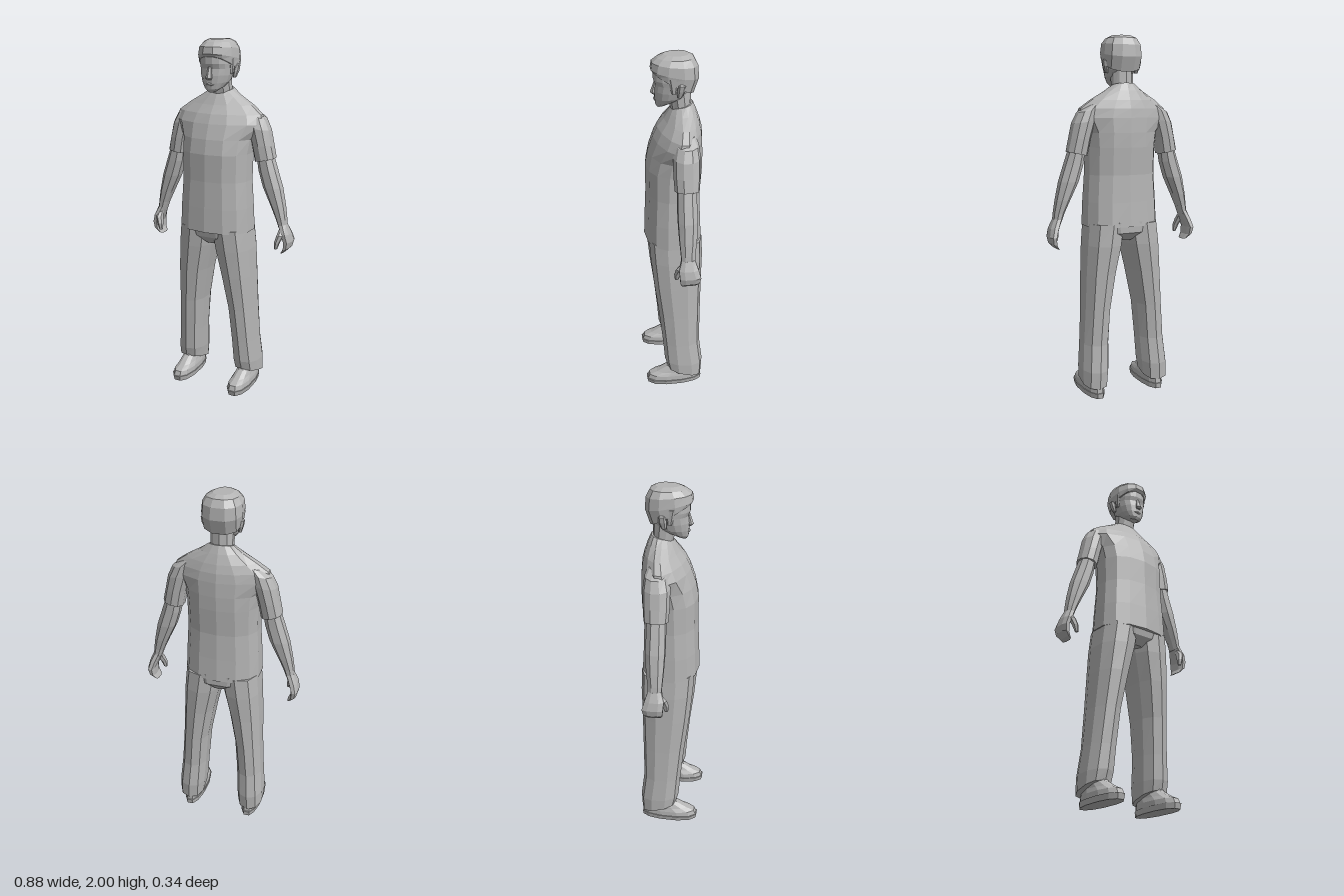
import * as THREE from 'three';

const grey = new THREE.MeshStandardMaterial({ color: 0xb4b4b4 });
grey.name = 'plain grey';
grey.flatShading = true;

// Closed loft through horizontal rings, listed from bottom to top.
// Ring: [y, xMin, xMax, zBack, zFront, squareness, sideTilt, frontTilt]
function loft(rings, sides = 10, taper = 0) {
  const pos = [], index = [];
  for (const [y, x0, x1, zb, zf, power = 2.2, sx = 0, sz = 0] of rings) {
    for (let j = 0; j < sides; j++) {
      const a = ((j + 0.5) / sides) * Math.PI * 2;
      const c = Math.cos(a), s = Math.sin(a);
      const dx = Math.sign(c) * Math.abs(c) ** (2 / power);
      const dz = Math.sign(s) * Math.abs(s) ** (2 / power);
      // Stretch so the ring reaches its full width between vertices
      const k = 1 / Math.cos(Math.PI / sides) ** (2 / power);
      pos.push(
        (x0 + x1) / 2 + ((x1 - x0) / 2) * dx * k * (1 - taper * dz),
        y + sx * dx + sz * dz,
        (zb + zf) / 2 + ((zf - zb) / 2) * dz * (sides % 4 ? 1 : k));
    }
  }
  const last = rings.length - 1;
  for (let i = 0; i < last; i++) {
    for (let j = 0; j < sides; j++) {
      const a = i * sides + j, b = i * sides + ((j + 1) % sides);
      index.push(a, a + sides, b, b, a + sides, b + sides);
    }
  }
  for (let j = 1; j < sides - 1; j++) {
    const t = last * sides;
    index.push(0, j, j + 1, t, t + j + 1, t + j);
  }
  const geo = new THREE.BufferGeometry();
  geo.setAttribute('position', new THREE.Float32BufferAttribute(pos, 3));
  geo.setIndex(index);
  const flat = geo.toNonIndexed();
  flat.computeVertexNormals();
  return flat;
}

// Ring symmetric about x = 0
const mid = (y, w, zb, zf, power, sz = 0) => [y, -w, w, zb, zf, power, 0, sz];
// Rings written for the left side (+x), flipped when s is -1
const sided = (rings, s) => s > 0 ? rings : rings.map(
  ([y, x0, x1, zb, zf, p = 2.2, sx = 0, sz = 0]) => [y, -x1, -x0, zb, zf, p, -sx, sz]);

export function createModel() {
  const model = new THREE.Group();
  model.name = 'standingMan';
  const add = (name, geometry, parent = model) => {
    const mesh = new THREE.Mesh(geometry, grey);
    mesh.name = name;
    parent.add(mesh);
    return mesh;
  };

  // Loose shirt body, from hem to collar
  add('shirt', loft([
    mid(0.965, 0.212, -0.168, 0.155, 2.4),
    mid(1.1, 0.206, -0.16, 0.15, 2.4),
    mid(1.25, 0.197, -0.155, 0.143, 2.3),
    mid(1.4, 0.198, -0.165, 0.143, 2.3),
    mid(1.48, 0.208, -0.167, 0.128, 2.1),
    mid(1.56, 0.262, -0.165, 0.1, 1.7),
    mid(1.61, 0.25, -0.16, 0.075, 1.6),
    mid(1.655, 0.19, -0.148, 0.04, 1.7),
    mid(1.7, 0.115, -0.13, 0.015, 1.9, -0.005),
    mid(1.735, 0.066, -0.112, -0.003, 2, -0.012),
  ], 14));

  // Neck and head
  add('neck', loft([
    mid(1.69, 0.06, -0.105, 0.0, 2),
    mid(1.83, 0.058, -0.1, 0.03, 2),
  ]));
  const head = new THREE.Group();
  head.name = 'head';
  model.add(head);
  add('face', loft([
    mid(1.738, 0.03, 0.0, 0.073, 2, -0.013),
    mid(1.753, 0.052, -0.03, 0.083, 2.1, -0.012),
    mid(1.78, 0.072, -0.07, 0.087, 2.1, -0.006),
    mid(1.815, 0.083, -0.09, 0.088, 2.2),
    mid(1.85, 0.088, -0.1, 0.083, 2.3),
    mid(1.875, 0.09, -0.11, 0.093, 2.3),
    mid(1.94, 0.088, -0.12, 0.092, 2.3),
  ], 16, 0.06), head);
  add('nose', loft([
    mid(1.793, 0.012, 0.075, 0.098, 2),
    mid(1.803, 0.018, 0.07, 0.11, 2),
    mid(1.86, 0.008, 0.07, 0.09, 2),
  ], 6), head);
  add('lips', loft([
    mid(1.761, 0.015, 0.06, 0.088, 2),
    mid(1.768, 0.024, 0.06, 0.093, 2),
    mid(1.776, 0.015, 0.06, 0.088, 2),
  ], 8), head);
  add('hair', loft([
    mid(1.86, 0.099, -0.11, 0.096, 2.4, 0.055),
    mid(1.905, 0.104, -0.136, 0.106, 2.4, 0.022),
    mid(1.955, 0.099, -0.132, 0.1, 2.3, 0.008),
    mid(1.985, 0.08, -0.112, 0.072, 2.2),
    mid(2.0, 0.05, -0.085, 0.04, 2.2),
  ], 12, 0.14), head);

  for (const s of [1, -1]) {
    const side = s > 0 ? 'left' : 'right';
    const part = (name, rings, sides, parent = model) =>
      add(side + name, loft(sided(rings, s), sides), parent);

    // Ear and sideburn
    part('Ear', [
      [1.8, 0.082, 0.096, -0.045, -0.02],
      [1.835, 0.083, 0.108, -0.06, -0.018],
      [1.865, 0.085, 0.113, -0.062, -0.022],
      [1.878, 0.085, 0.1, -0.05, -0.03],
    ], 6, head);
    part('Sideburn', [
      [1.82, 0.08, 0.093, -0.015, 0.008],
      [1.9, 0.08, 0.103, -0.03, 0.03],
    ], 6, head);

    // Short sleeve
    part('Sleeve', [
      [1.368, 0.218, 0.328, -0.115, 0.015, 2.2, 0.012],
      [1.45, 0.2, 0.312, -0.12, 0.02, 2.2],
      [1.54, 0.17, 0.295, -0.122, 0.02, 2.1, -0.01],
      [1.6, 0.15, 0.268, -0.115, 0.005, 2, -0.012],
      [1.635, 0.13, 0.215, -0.1, -0.015, 2, -0.012],
    ], 10);

    // Bare arm, narrowing to the wrist
    part('Arm', [
      [1.0, 0.368, 0.412, -0.078, -0.008],
      [1.05, 0.35, 0.406, -0.08, -0.005],
      [1.12, 0.318, 0.394, -0.09, 0.0],
      [1.22, 0.27, 0.372, -0.098, 0.004],
      [1.31, 0.242, 0.342, -0.096, 0.003],
      [1.42, 0.225, 0.305, -0.095, 0.0],
    ], 8);

    // Hand seen edge-on, with fingers curling inward
    part('Hand', [
      [0.858, 0.384, 0.408, -0.085, -0.01, 2.6, 0.006],
      [0.885, 0.4, 0.434, -0.1, 0.0, 2.6, 0.005],
      [0.925, 0.402, 0.442, -0.108, 0.004, 2.6],
      [0.97, 0.384, 0.432, -0.095, 0.008, 2.4],
      [1.02, 0.363, 0.41, -0.078, -0.008],
    ], 8);
    part('Thumb', [
      [0.888, 0.364, 0.38, 0.005, 0.025],
      [0.925, 0.364, 0.392, -0.008, 0.03],
      [0.965, 0.374, 0.408, -0.03, 0.022],
      [0.995, 0.378, 0.404, -0.04, -0.005],
    ], 6);

    // Straight trouser leg with a hem raised at the front
    part('TrouserLeg', [
      [0.085, 0.115, 0.26, -0.16, 0.045, 2.4, 0, 0.03],
      [0.16, 0.107, 0.26, -0.165, 0.06, 2.3, 0, 0.01],
      [0.3, 0.1, 0.248, -0.147, 0.07, 2.2],
      [0.5, 0.085, 0.235, -0.15, 0.09, 2.2],
      [0.7, 0.05, 0.226, -0.155, 0.115, 2.3],
      [0.86, 0.014, 0.217, -0.162, 0.13, 2.4],
      [0.98, -0.005, 0.205, -0.16, 0.137, 2.4],
    ], 10);

    // Shoe: flat sole, wider at the toe, with a low sloping upper
    const shoe = new THREE.Group();
    shoe.name = side + 'Shoe';
    model.add(shoe);
    add('sole', loft(sided([
      [0.0, 0.128, 0.24, -0.155, 0.165, 2.3, 0, 0.002],
      [0.03, 0.124, 0.245, -0.158, 0.172, 2.3, 0, 0.002],
    ], s), 12, -0.1), shoe);
    add('upper', loft(sided([
      [0.028, 0.128, 0.241, -0.152, 0.168, 2.3],
      [0.058, 0.13, 0.238, -0.15, 0.155, 2.3],
      [0.082, 0.138, 0.23, -0.145, 0.11, 2.3, 0, -0.006],
      [0.115, 0.145, 0.225, -0.14, 0.05, 2.2, 0, -0.004],
      [0.15, 0.148, 0.222, -0.13, 0.02, 2.2],
    ], s), 12, -0.08), shoe);
  }

  // Seat of the trousers joining both legs
  add('trouserSeat', loft([
    mid(0.885, 0.06, -0.12, 0.085, 2),
    mid(0.93, 0.17, -0.158, 0.125, 2.4),
    mid(0.99, 0.2, -0.16, 0.138, 2.4),
  ], 12));

  return model;
}
